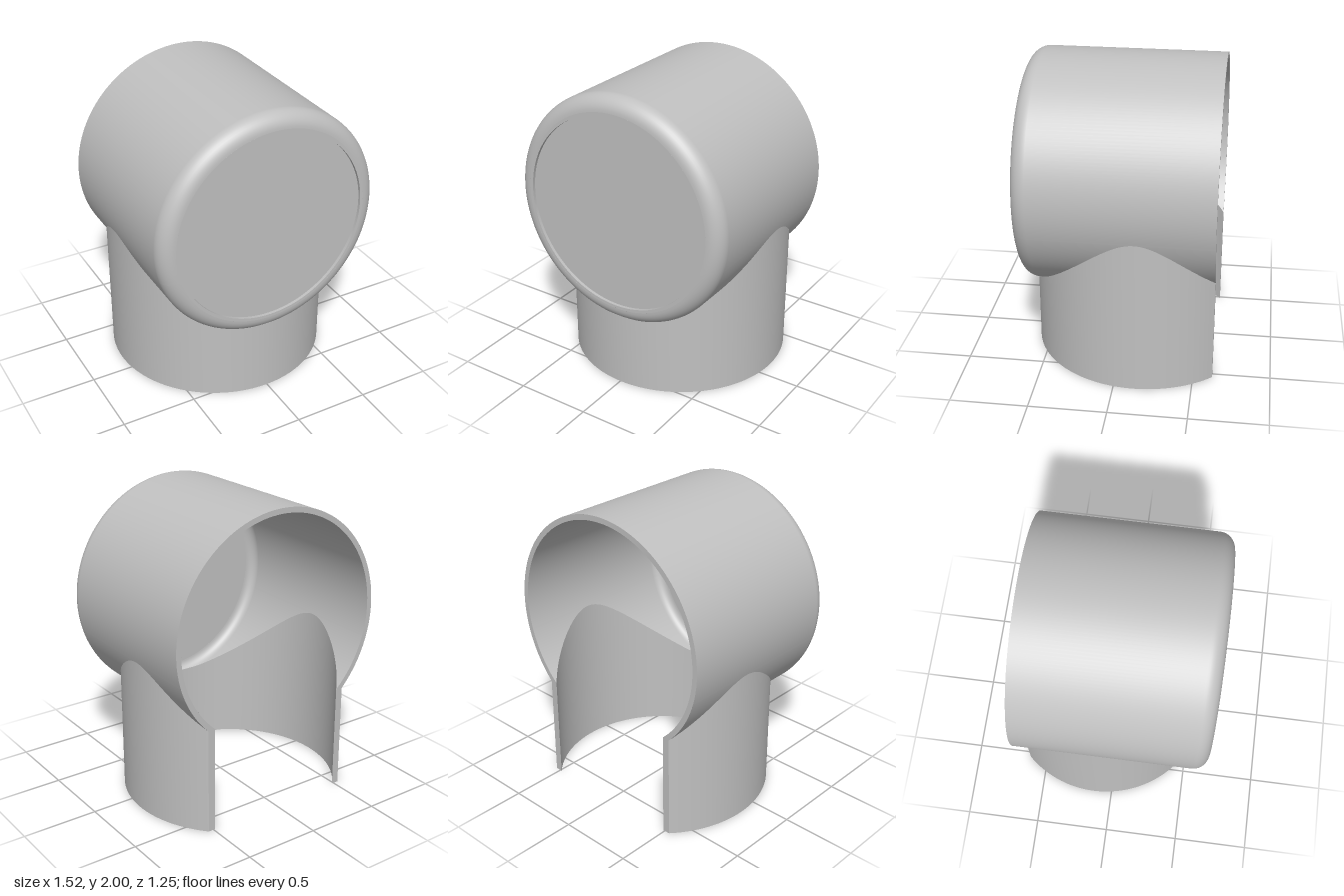
import * as THREE from 'three';

const BACK = -0.625, AXIS_Y = 1.24, STEM_Z = -0.13; // cut plane, barrel axis, stem axis
const FILLET_Z = 0.525, FILLET_R = 0.66;            // centre of the rounded front edge
const OUTER = { barrel: 0.76, stem: 0.73 };
const INNER = { barrel: 0.725, stem: 0.695 };
const lerp = THREE.MathUtils.lerp;

// Surface from a rule f(u, v) -> [x, y, z], with u and v in 0..1
function patch(f, nu, nv) {
  const pos = [], idx = [];
  for (let j = 0; j <= nv; j++) {
    for (let i = 0; i <= nu; i++) {
      pos.push(...f(i / nu, j / nv, j));
      if (i < nu && j < nv) {
        const a = j * (nu + 1) + i, b = a + nu + 1;
        idx.push(a, a + 1, b, a + 1, b + 1, b);
      }
    }
  }
  const g = new THREE.BufferGeometry();
  g.setAttribute('position', new THREE.Float32BufferAttribute(pos, 3));
  g.setIndex(idx);
  g.computeVertexNormals();
  return g;
}

// Point on the barrel: s < 0 runs back along the tube, s > 0 is the angle round the front edge
function barrelPoint(size, theta, s) {
  const f = size.barrel - FILLET_R;
  const r = s < 0 ? size.barrel : FILLET_R + f * Math.cos(s);
  const z = s < 0 ? FILLET_Z + s : FILLET_Z + f * Math.sin(s);
  return [r * Math.sin(theta), AXIS_Y - r * Math.cos(theta), z];
}

// Where the barrel leaves the front of the stem, for an angle measured from the bottom
function stemExit(size, theta) {
  let lo = STEM_Z - FILLET_Z, hi = Math.PI / 2;
  for (let k = 0; k < 40; k++) {
    const mid = (lo + hi) / 2;
    const [x, , z] = barrelPoint(size, theta, mid);
    if (Math.hypot(x, z - STEM_Z) < size.stem) lo = mid; else hi = mid;
  }
  return lo;
}

// Angles at which the cut plane and the stem sides meet the barrel
function limits(size) {
  const cutX = Math.sqrt(size.stem ** 2 - (BACK - STEM_Z) ** 2);
  return {
    cutX,
    cutY: AXIS_Y - Math.sqrt(size.barrel ** 2 - cutX ** 2),
    cut: Math.asin(cutX / size.barrel),
    side: Math.asin(size.stem / size.barrel),
    stem: Math.acos((BACK - STEM_Z) / size.stem),
  };
}

export function createModel() {
  const model = new THREE.Group();
  const grey = new THREE.MeshStandardMaterial({ color: 0xc0c0c0, side: THREE.DoubleSide });
  grey.name = 'light grey';
  const add = (name, geometry) => {
    const mesh = new THREE.Mesh(geometry, grey);
    mesh.name = name;
    model.add(mesh);
    return mesh;
  };

  const ARC = 10;
  const rowAt = (s0, j) => (j === 0 ? s0 : Math.max(s0, (Math.PI / 2) * (j - 1) / ARC));

  for (const [label, size] of [['outer', OUTER], ['inner', INNER]]) {
    const lim = limits(size);
    // Barrel above the stem, full length with rounded front edge
    add(label + 'Barrel', patch((u, v, j) =>
      barrelPoint(size, lerp(lim.side, 2 * Math.PI - lim.side, u), rowAt(BACK - FILLET_Z, j)), 128, ARC + 1));
    // Underside of the barrel in front of the stem
    add(label + 'BarrelFrontUnderside', patch((u, v, j) => {
      const theta = lim.side * Math.sin((u - 0.5) * Math.PI);
      return barrelPoint(size, theta, rowAt(stemExit(size, theta), j));
    }, 96, ARC + 1));
    // Small underside pieces behind the stem
    for (const side of [-1, 1]) {
      add(label + 'BarrelBackUnderside', patch((u, v) => {
        const theta = side * lerp(lim.cut, lim.side, Math.sin(u * Math.PI / 2));
        const x = size.barrel * Math.sin(theta);
        const end = STEM_Z - Math.sqrt(Math.max(0, size.stem ** 2 - x * x));
        return barrelPoint(size, theta, lerp(BACK, end, v) - FILLET_Z);
      }, 24, 1));
    }
    // Stem wall, trimmed to the underside of the barrel
    add(label + 'Stem', patch((u, v) => {
      const phi = lerp(-lim.stem, lim.stem, u);
      const x = size.stem * Math.sin(phi), z = STEM_Z + size.stem * Math.cos(phi);
      const f = size.barrel - FILLET_R;
      const r = z < FILLET_Z ? size.barrel
        : FILLET_R + Math.sqrt(Math.max(0, f * f - (z - FILLET_Z) ** 2));
      return [x, v * (AXIS_Y - Math.sqrt(r * r - x * x)), z];
    }, 128, 1));
  }

  // Flat faces that close the wall thickness
  const o = limits(OUTER), n = limits(INNER);
  add('backRim', patch((u, v) => {
    const c = lerp(n.cut, o.cut, v), r = lerp(INNER.barrel, OUTER.barrel, v);
    const theta = lerp(c, 2 * Math.PI - c, u);
    return [r * Math.sin(theta), AXIS_Y - r * Math.cos(theta), BACK];
  }, 128, 1));
  add('stemBottomRim', patch((u, v) => {
    const c = lerp(n.stem, o.stem, v), r = lerp(INNER.stem, OUTER.stem, v);
    const phi = lerp(-c, c, u);
    return [r * Math.sin(phi), 0, STEM_Z + r * Math.cos(phi)];
  }, 128, 1));
  for (const side of [-1, 1]) {
    add('stemCutEdge', patch((u, v) =>
      [side * lerp(n.cutX, o.cutX, u), v * lerp(n.cutY, o.cutY, u), BACK], 1, 1));
  }

  // Front lip around the slightly recessed end plate
  for (const [name, z] of [['frontLip', 0.625], ['innerLip', 0.59]]) {
    add(name, new THREE.RingGeometry(0.64, FILLET_R, 128)).position.set(0, AXIS_Y, z);
  }
  const recess = add('recessWall', new THREE.CylinderGeometry(0.64, 0.64, 0.02, 128, 1, true));
  recess.rotation.x = Math.PI / 2;
  recess.position.set(0, AXIS_Y, 0.615);
  const plate = add('endPlate', new THREE.CylinderGeometry(0.64, 0.64, 0.015, 128));
  plate.rotation.x = Math.PI / 2;
  plate.position.set(0, AXIS_Y, 0.5975);

  return model;
}
